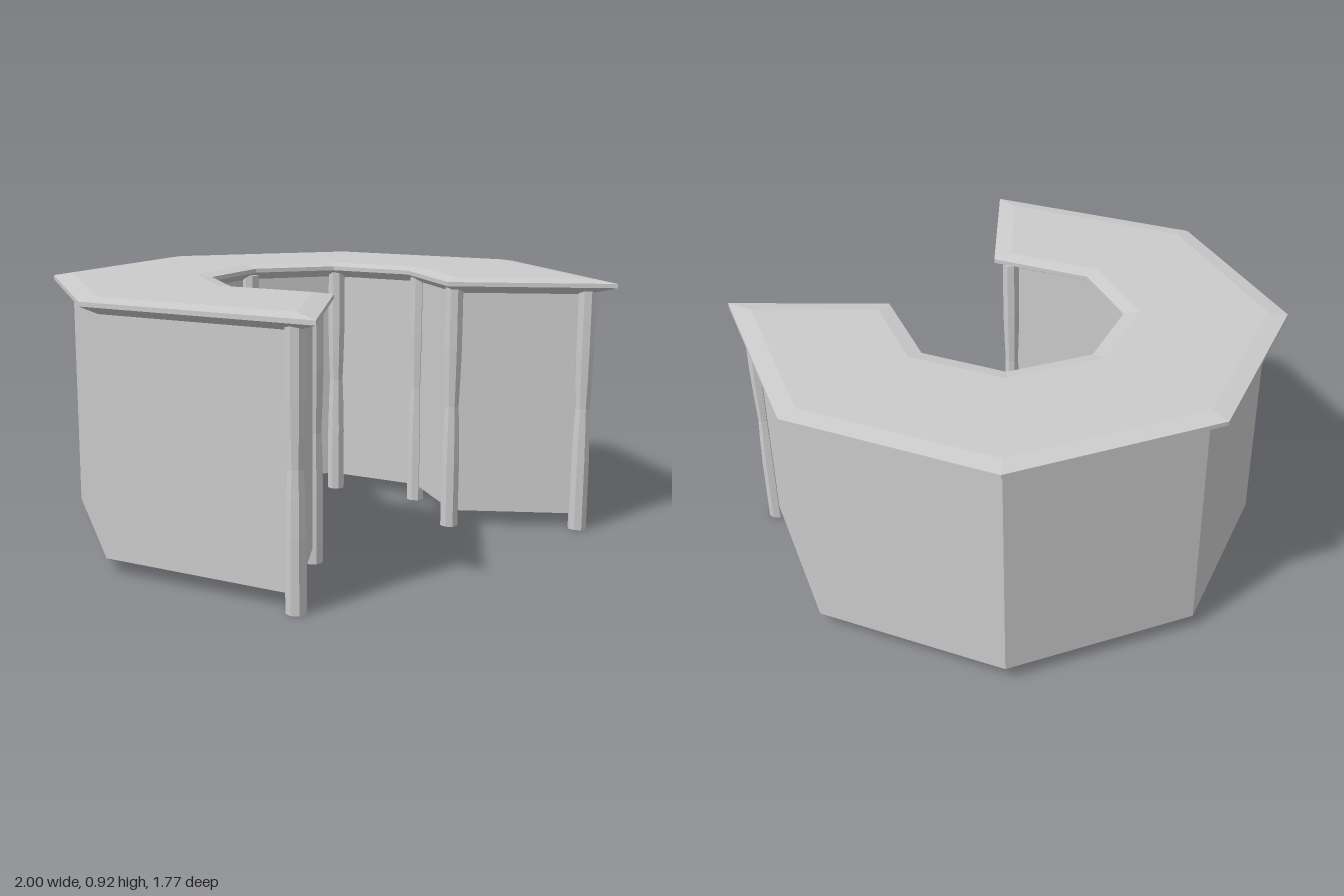
import * as THREE from 'three';

const material = new THREE.MeshStandardMaterial({ color: 0xcccccc, flatShading: true });

// Closes a right-hand half outline (outer back -> end -> inner back) by mirroring it in x
function mirrorOutline(half) {
  const left = half.slice(1, -1).reverse().map(([x, z]) => [-x, z]);
  return [...half, ...left];
}

// Solid through a stack of [outline, y] rings, capped at both ends
function stackGeometry(rings) {
  const positions = [];
  const n = rings[0][0].length;
  const at = (r, i) => [rings[r][0][i % n][0], rings[r][1], rings[r][0][i % n][1]];
  const tri = (a, b, c) => positions.push(...a, ...b, ...c);
  for (let r = 0; r < rings.length - 1; r++) {
    for (let i = 0; i < n; i++) {
      tri(at(r, i), at(r + 1, i), at(r + 1, i + 1));
      tri(at(r, i), at(r + 1, i + 1), at(r, i + 1));
    }
  }
  for (const [r, up] of [[0, false], [rings.length - 1, true]]) {
    const pts = rings[r][0].map(([x, z]) => new THREE.Vector2(x, z));
    for (const [i, j, k] of THREE.ShapeUtils.triangulateShape(pts, [])) {
      const a = at(r, i), b = at(r, j), c = at(r, k);
      const ny = (b[2] - a[2]) * (c[0] - a[0]) - (b[0] - a[0]) * (c[2] - a[2]);
      if ((ny > 0) === up) tri(a, b, c);
      else tri(a, c, b);
    }
  }
  const geometry = new THREE.BufferGeometry();
  geometry.setAttribute('position', new THREE.Float32BufferAttribute(positions, 3));
  geometry.computeVertexNormals();
  return geometry;
}

// Eight-sided post, slightly pinched and bent around mid height
function postGeometry() {
  const profile = [[0, 0], [0.034, 0], [0.034, 0.24], [0.031, 0.36], [0.027, 0.45],
    [0.031, 0.55], [0.034, 0.66], [0.034, 0.88], [0, 0.88]];
  return new THREE.LatheGeometry(profile.map(([r, y]) => new THREE.Vector2(r, y)), 8, Math.PI / 8);
}

export function createModel() {
  const model = new THREE.Group();
  const add = (geometry, name) => {
    const mesh = new THREE.Mesh(geometry, material);
    mesh.name = name;
    model.add(mesh);
    return mesh;
  };

  const bodyOutline = mirrorOutline([
    [0, -0.82], [0.655, -0.55], [0.932, 0.11], [0.657, 0.765],
    [0.33, 0.445], [0.47, 0.11], [0.33, -0.225], [0, -0.36],
  ]);
  const rimOutline = mirrorOutline([
    [0, -0.89], [0.707, -0.6], [1, 0.11], [0.68, 0.88],
    [0.262, 0.467], [0.41, 0.11], [0.29, -0.183], [0, -0.305],
  ]);

  // Horseshoe body, raised off the floor
  add(stackGeometry([[bodyOutline, 0.055], [bodyOutline, 0.862]]), 'counterBody');

  // Worktop flaring out to the rim, with a shallow bevel on top
  add(stackGeometry([
    [bodyOutline, 0.862], [rimOutline, 0.892], [rimOutline, 0.907], [bodyOutline, 0.917],
  ]), 'worktop');

  // Posts at the end corners and along the inner wall
  const post = postGeometry();
  const posts = [
    [0.66, 0.765], [-0.66, 0.765], [0.325, 0.44], [-0.325, 0.44],
    [0.465, 0.115], [0.33, -0.21], [-0.33, -0.21], [0, -0.34],
  ];
  posts.forEach(([x, z], i) => add(post, `post${i + 1}`).position.set(x, 0, z));

  return model;
}
